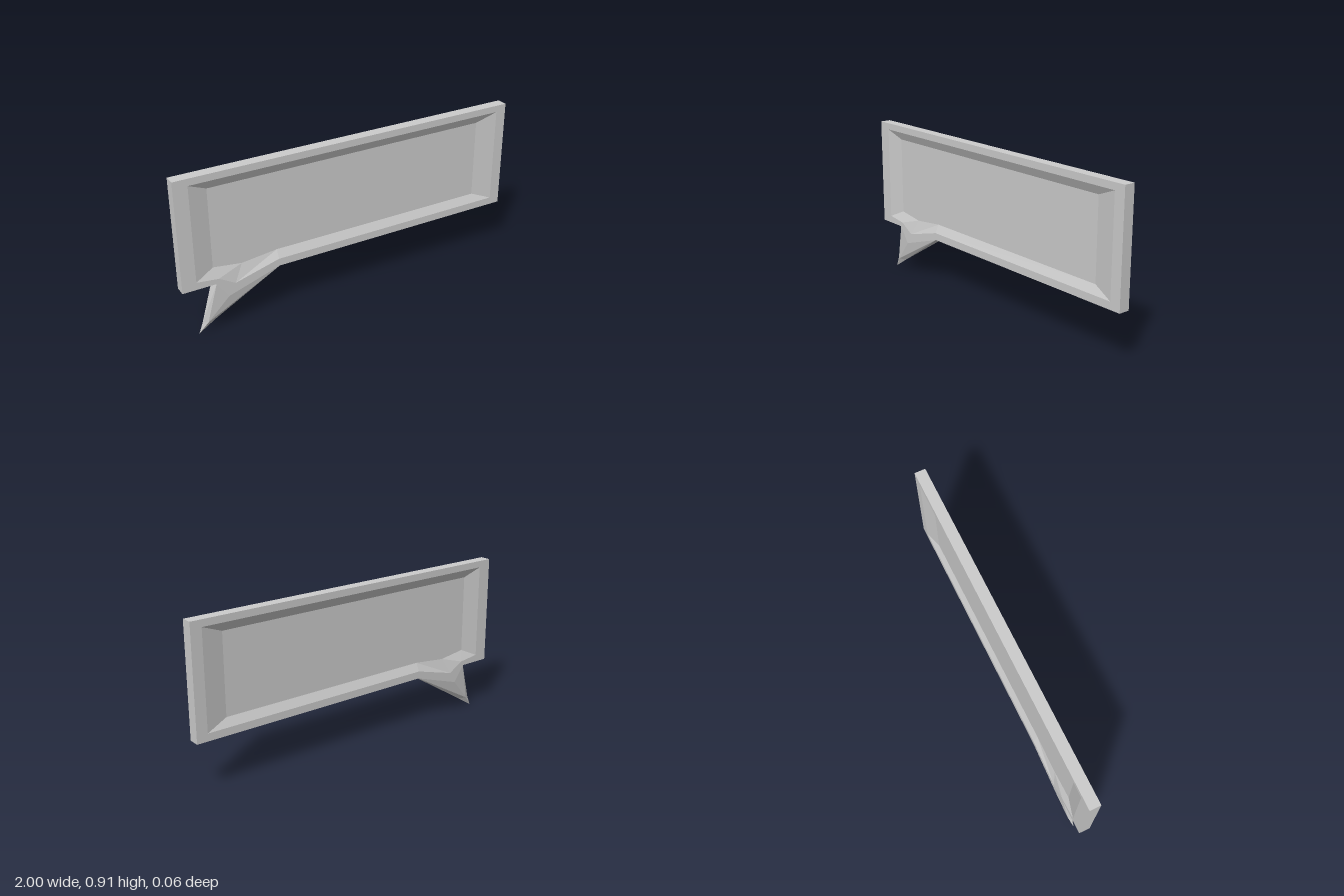
import * as THREE from 'three';

const HALF = 0.031;   // half thickness of the frame
const FLOOR = 0.008;  // half thickness of the recessed panel

// Tail corners on the flat face
const A = [-0.815, 0.288], B = [-0.75, 0.195], C = [-0.455, 0.288];
const outline = [[-1, 0.91], [-1, 0.288], A, B, C, [1, 0.288], [1, 0.91]];
// Rim and floor of the recess, matched point for point
const rim = [[-0.922, 0.872], [-0.922, 0.33], [-0.8, 0.315], [-0.71, 0.262], [-0.457, 0.33], [0.938, 0.33], [0.938, 0.872]];
const bed = [[-0.82, 0.824], [-0.82, 0.377], [-0.82, 0.377], [-0.66, 0.355], [-0.457, 0.377], [0.816, 0.377], [0.816, 0.824]];

const material = new THREE.MeshStandardMaterial({ color: 0xcccccc, flatShading: true, side: THREE.DoubleSide });
const vecs = (pts) => pts.map(([x, y]) => new THREE.Vector2(x, y));

function mesh(name, geometry) {
  const m = new THREE.Mesh(geometry, material);
  m.name = name;
  return m;
}

function fromTriangles(triangles) {
  const g = new THREE.BufferGeometry();
  g.setAttribute('position', new THREE.Float32BufferAttribute(triangles.flat(2), 3));
  g.computeVertexNormals();
  return g;
}

// Quad as two triangles, corners counter-clockwise
const quad = (a, b, c, d) => [[a, b, c], [a, c, d]];
const at = ([x, y], z) => [x, y, z];
const flip = ([x, y, z]) => [x, y, -z];

function makeFace(name) {
  const face = new THREE.Group();
  face.name = name;

  // Flat border with the recess cut out
  const shape = new THREE.Shape(vecs(outline));
  shape.holes.push(new THREE.Path(vecs(rim)));
  face.add(mesh('border', new THREE.ShapeGeometry(shape).translate(0, 0, HALF)));

  // Sloping walls of the recess
  const walls = rim.flatMap((p, i) => {
    const j = (i + 1) % rim.length;
    const top = at(p, HALF), next = at(rim[j], HALF);
    if (bed[i] === bed[j] || (bed[i][0] === bed[j][0] && bed[i][1] === bed[j][1])) {
      return [[top, next, at(bed[i], FLOOR)]];
    }
    return quad(top, next, at(bed[j], FLOOR), at(bed[i], FLOOR));
  });
  face.add(mesh('recessWalls', fromTriangles(walls)));

  // Recessed panel
  const floor = bed.filter((p, i) => i !== 2);
  face.add(mesh('recessedPanel', new THREE.ShapeGeometry(new THREE.Shape(vecs(floor))).translate(0, 0, FLOOR)));
  return face;
}

// Pointed tail: the face tapers through a small diamond section to the tip
function makeTail() {
  const a = at(A, HALF), b = at(B, HALF), c = at(C, HALF);
  const ridge = [-0.87, 0.062, 0.015], tip = [-0.92, 0, 0];
  const left = [-0.897, 0.062, 0], right = [-0.822, 0.062, 0];
  const half = [
    [a, left, ridge], [a, ridge, b], [b, ridge, c], [c, ridge, right],
    [left, tip, ridge], [ridge, tip, right],
  ];
  const back = half.map(([p, q, r]) => [flip(p), flip(r), flip(q)]);
  return mesh('tail', fromTriangles([...half, ...back, [a, flip(a), left], [c, right, flip(c)]]));
}

export function createModel() {
  const model = new THREE.Group();
  model.name = 'speechBubblePanel';

  const front = makeFace('frontFace');
  const back = makeFace('backFace');
  back.scale.z = -1;
  model.add(front, back);

  // Outer edge, left open where the tail joins
  const edge = outline.flatMap((p, i) => {
    if (p === A || p === B) return [];
    const q = outline[(i + 1) % outline.length];
    return quad(at(p, HALF), at(p, -HALF), at(q, -HALF), at(q, HALF));
  });
  model.add(mesh('outerEdge', fromTriangles(edge)));

  model.add(makeTail());
  return model;
}
